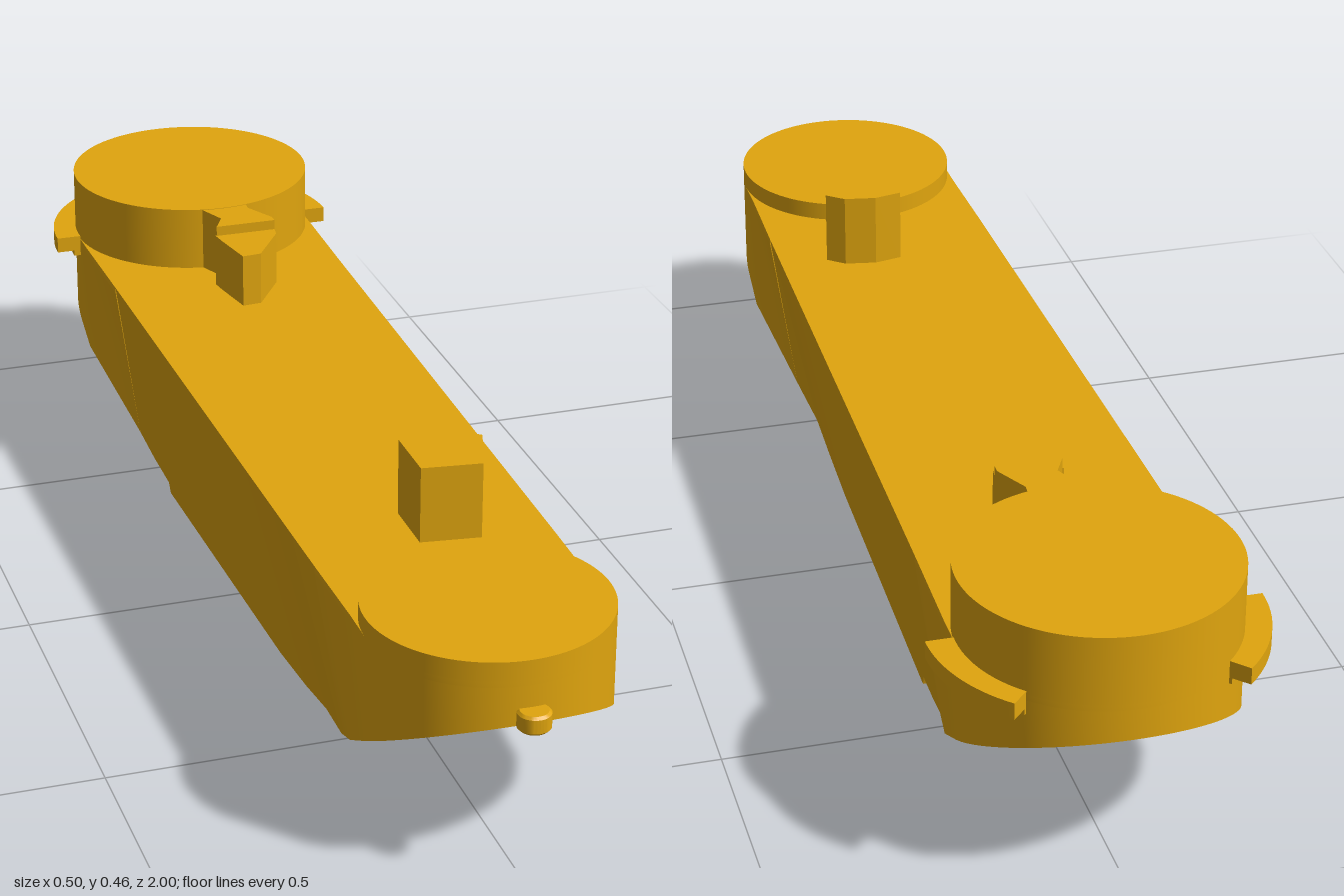
import * as THREE from 'three';
import { toCreasedNormals } from 'three/addons/utils/BufferGeometryUtils.js';

const material = new THREE.MeshStandardMaterial({ color: 0xe0a50e, side: THREE.DoubleSide });
const DECK = 0.34; // height of the flat top
const halfTop = (z) => 0.1975 - 0.016 * z; // half width along the deck

export function createModel() {
  const model = new THREE.Group();

  const add = (name, geometry, x = 0, y = 0, z = 0) => {
    const mesh = new THREE.Mesh(geometry, material);
    mesh.name = name;
    mesh.position.set(x, y, z);
    model.add(mesh);
    return mesh;
  };

  // Extrudes a plan outline of [x, z] points upward from y0 to y1
  const planShape = (points) => new THREE.Shape(points.map(([x, z]) => new THREE.Vector2(x, -z)));
  const prism = (shape, y0, y1) =>
    new THREE.ExtrudeGeometry(shape, { depth: y1 - y0, bevelEnabled: false })
      .rotateX(-Math.PI / 2).translate(0, y0, 0);
  const mirrored = (half) => [...half, ...half.filter(([x]) => x > 0).reverse().map(([x, z]) => [-x, z])];

  // Middle hull: four-cornered sections [z, bottom half width, bottom y]
  const sections = [
    [0.56, 0.146, 0.048], [0.45, 0.135, 0.028], [0.35, 0.136, 0.014], [0.22, 0.139, 0.005],
    [-0.385, 0.155, 0.005], [-0.39, 0.155, 0.02], [-0.47, 0.161, 0.034], [-0.54, 0.168, 0.055],
  ].map(([z, wb, y]) => {
    const w = halfTop(z);
    return [[-w, DECK, z], [w, DECK, z], [wb, y, z], [-wb, y, z]];
  });
  const verts = [];
  for (let i = 0; i < sections.length - 1; i++) {
    for (let j = 0; j < 4; j++) {
      const k = (j + 1) % 4;
      const a = sections[i][j], b = sections[i][k], c = sections[i + 1][k], d = sections[i + 1][j];
      verts.push(...a, ...b, ...c, ...a, ...c, ...d);
    }
  }
  const hull = new THREE.BufferGeometry();
  hull.setAttribute('position', new THREE.Float32BufferAttribute(verts, 3));
  hull.computeVertexNormals();
  add('hull', hull);

  // Rounded ends with a slanted underside and an open pocket
  const makeEnd = (name, e) => {
    const half = [[e.startTop, e.start], [e.radius, e.bend]];
    for (let i = 0; i <= 24; i++) {
      const a = (i / 24) * Math.PI / 2;
      half.push([e.radius * Math.cos(a), e.center + e.radius * Math.sin(a)]);
    }
    half[half.length - 1][0] = 0;
    const outline = mirrored(half);
    const shape = planShape(outline);
    shape.holes.push(planShape(mirrored(e.pocket)));
    const roof = DECK - 0.01;
    const walls = prism(shape, 0, roof);
    const p = walls.attributes.position;
    for (let i = 0; i < p.count; i++) {
      if (p.getY(i) > 0.01) continue;
      const z = p.getZ(i);
      p.setY(i, e.startY + (z - e.start) * e.slope);
      if (Math.abs(z - e.start) < 1e-4) p.setX(i, Math.sign(p.getX(i)) * e.startBottom);
    }
    const wallMesh = add(name + 'Walls', toCreasedNormals(walls, 0.4));
    const roofMesh = add(name + 'Roof', toCreasedNormals(prism(planShape(outline), roof, DECK), 0.4));
    const disc = new THREE.CylinderGeometry(e.radius, e.radius, e.top - roof, 96);
    add(name + 'Disc', disc, 0, (e.top + roof) / 2, e.turn ? -e.center : e.center);
    if (e.turn) wallMesh.rotation.y = roofMesh.rotation.y = Math.PI;
  };
  makeEnd('front', {
    start: 0.56, startTop: halfTop(0.56), startBottom: 0.146, startY: 0.048, slope: 0.54,
    bend: 0.72, center: 0.783, radius: 0.185, top: 0.37, turn: false,
    pocket: [[0, 0.575], [0.05, 0.577], [0.09, 0.6], [0.115, 0.65], [0.147, 0.8], [0.125, 0.875], [0.08, 0.915], [0, 0.93]],
  });
  makeEnd('rear', {
    start: 0.54, startTop: halfTop(-0.54), startBottom: 0.168, startY: 0.055, slope: 0.49,
    bend: 0.73, center: 0.79, radius: 0.21, top: 0.45, turn: true,
    pocket: [[0, 0.56], [0.06, 0.562], [0.105, 0.585], [0.135, 0.65], [0.17, 0.8], [0.145, 0.89], [0.09, 0.945], [0, 0.965]],
  });

  // Curved side flanges with small lips below, on both sides of the rear disc
  const arcStrip = (side, r0, r1, a0, a1) => {
    const points = [];
    const at = (r, a) => points.push([side * r * Math.cos(a), -0.78 - r * Math.sin(a)]);
    for (let i = 0; i <= 16; i++) at(r1, a0 + (a1 - a0) * i / 16);
    for (let i = 16; i >= 0; i--) at(r0, a0 + (a1 - a0) * i / 16);
    return planShape(points);
  };
  for (const side of [1, -1]) {
    const label = side > 0 ? 'left' : 'right';
    add(label + 'Flange', toCreasedNormals(prism(arcStrip(side, 0.2, 0.252, 0, 0.82), 0.318, 0.345), 0.4));
    for (const [a0, a1] of [[0, 0.16], [0.66, 0.82]]) {
      add(label + 'FlangeLip', prism(arcStrip(side, 0.2, 0.222, a0, a1), 0.308, 0.319));
    }
  }

  // Front pin with softened rims
  const pin = [[0, 0.265], [0.021, 0.265], [0.025, 0.269], [0.025, 0.291], [0.021, 0.295], [0, 0.295]];
  add('frontPin', toCreasedNormals(
    new THREE.LatheGeometry(pin.map(([r, y]) => new THREE.Vector2(r, y)), 32), 0.4), 0, 0, 0.975);

  // Upright post on the deck
  add('deckPost', prism(planShape([
    [-0.016, 0.535], [0.078, 0.547], [0.11, 0.455], [0.082, 0.432], [0.03, 0.423], [-0.016, 0.433],
  ]), DECK - 0.01, 0.463));

  // Two-level arm reaching forward from the rear disc
  add('armBase', prism(planShape([
    [-0.035, -0.62], [-0.035, -0.585], [-0.014, -0.535], [-0.032, -0.5],
    [0.073, -0.5], [0.073, -0.515], [0.045, -0.57], [0.05, -0.62],
  ]), DECK - 0.01, 0.449));
  add('armTip', prism(planShape([
    [-0.034, -0.502], [-0.03, -0.475], [-0.015, -0.397], [0.018, -0.4], [0.07, -0.48], [0.073, -0.502],
  ]), DECK - 0.01, 0.432));

  // Small pads under the keel, each with a row of studs
  for (const [name, y, z, depth] of [['frontPad', 0.018, 0.4, 0.11], ['rearPad', 0.002, -0.335, 0.09]]) {
    add(name, new THREE.BoxGeometry(0.132, 0.02, depth), 0, y + 0.01, z);
    for (const x of [-0.04, 0, 0.04]) {
      add(name + 'Stud', new THREE.CylinderGeometry(0.007, 0.007, 0.004, 16), x, y, z);
    }
  }

  return model;
}
